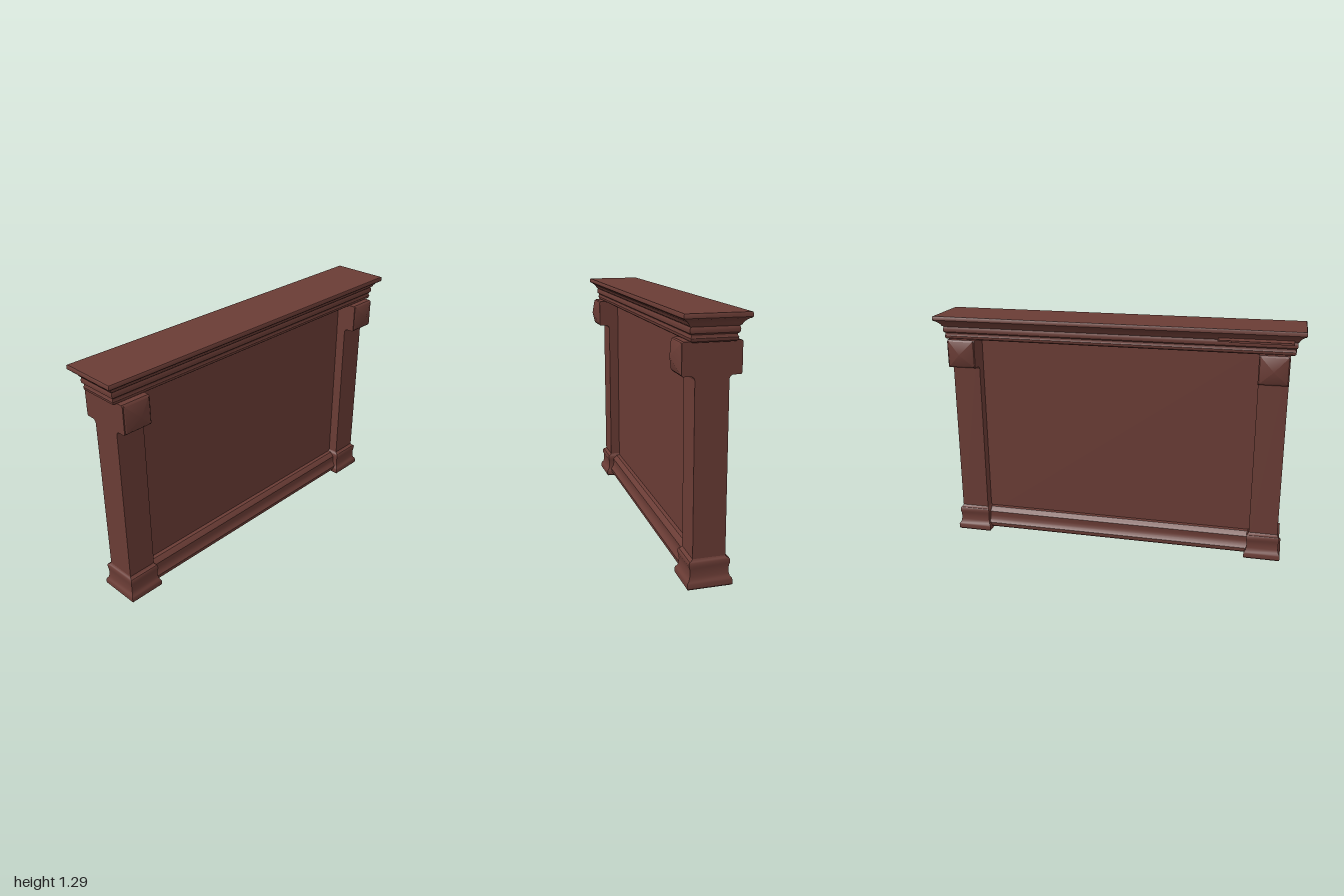
import * as THREE from 'three';
import { toCreasedNormals } from 'three/addons/utils/BufferGeometryUtils.js';

// Stacked rectangles [y, halfX, halfZ] from bottom to top, with closed ends
function rectLoft(rings) {
  const pos = [];
  const idx = [];
  for (const [y, hx, hz] of rings) {
    pos.push(-hx, y, hz, hx, y, hz, hx, y, -hz, -hx, y, -hz);
  }
  for (let r = 0; r < rings.length - 1; r++) {
    for (let k = 0; k < 4; k++) {
      const a = r * 4 + k;
      const b = r * 4 + ((k + 1) % 4);
      idx.push(a, b, b + 4, a, b + 4, a + 4);
    }
  }
  const t = (rings.length - 1) * 4;
  idx.push(0, 3, 2, 0, 2, 1, t, t + 1, t + 2, t, t + 2, t + 3);
  const g = new THREE.BufferGeometry();
  g.setAttribute('position', new THREE.Float32BufferAttribute(pos, 3));
  g.setIndex(idx);
  return toCreasedNormals(g, 0.6);
}

export function createModel() {
  const model = new THREE.Group();
  model.name = 'pillaredWall';
  const wood = new THREE.MeshStandardMaterial({ color: 0x6a3c35 });
  wood.name = 'reddish brown';

  const body = new THREE.Group();
  body.name = 'wallBody';
  body.position.z = 0.007;
  model.add(body);

  const add = (parent, name, geometry, x = 0, y = 0, z = 0) => {
    const mesh = new THREE.Mesh(geometry, wood);
    mesh.name = name;
    mesh.position.set(x, y, z);
    parent.add(mesh);
    return mesh;
  };

  // Recessed panel between the pillars
  add(body, 'panel', new THREE.BoxGeometry(1.6, 1.12, 0.05), 0, 0.63, 0);

  // Moulded rail along the foot of the panel
  const railProfile = [
    [0.02, 0.076], [0.026, 0.082], [0.046, 0.084], [0.054, 0.078], [0.066, 0.07],
    [0.085, 0.066], [0.1, 0.067], [0.112, 0.068], [0.12, 0.062], [0.135, 0.045], [0.137, 0.025],
  ];
  add(body, 'bottomRail', rectLoft(railProfile.map(([y, z]) => [y, 0.8, z])));

  // Pillars: shaft, moulded foot, bracket block and pointed studs
  const foot = [
    [0, 0.094, 0.107], [0.006, 0.099, 0.112], [0.028, 0.099, 0.112], [0.036, 0.096, 0.109],
    [0.045, 0.09, 0.101], [0.06, 0.087, 0.097], [0.08, 0.086, 0.095], [0.1, 0.087, 0.097],
    [0.112, 0.089, 0.101], [0.13, 0.089, 0.101], [0.136, 0.086, 0.097],
    [0.139, 0.082, 0.088], [0.147, 0.078, 0.081],
  ];
  const bracket = [
    [0.99, 0.0785, 0.08], [1.003, 0.0785, 0.085], [1.01, 0.0785, 0.095],
    [1.011, 0.0785, 0.137], [1.018, 0.0785, 0.142], [1.157, 0.0785, 0.142], [1.165, 0.0785, 0.134],
  ];
  const stud = [[0, 0.073, 0.073], [0.004, 0.068, 0.068], [0.031, 0.002, 0.002]];
  for (const side of [-1, 1]) {
    const pillar = new THREE.Group();
    pillar.name = side > 0 ? 'leftPillar' : 'rightPillar';
    pillar.position.x = side * 0.849;
    body.add(pillar);
    add(pillar, 'shaft', new THREE.BoxGeometry(0.156, 1.1, 0.162), 0, 0.62, 0);
    add(pillar, 'foot', rectLoft(foot));
    add(pillar, 'bracketBlock', rectLoft(bracket));
    for (const face of [-1, 1]) {
      const s = add(pillar, face > 0 ? 'frontStud' : 'backStud', rectLoft(stud), 0, 1.089, face * 0.142);
      s.rotation.x = face * Math.PI / 2;
    }
  }

  // Stepped cornice running round all four sides: [y, halfZ]
  const cornice = [
    [1.162, 0.1], [1.168, 0.108], [1.182, 0.111], [1.19, 0.107], [1.197, 0.107],
    [1.204, 0.115], [1.218, 0.117], [1.226, 0.115], [1.232, 0.113], [1.238, 0.121],
    [1.247, 0.125], [1.257, 0.134], [1.265, 0.144], [1.268, 0.151], [1.274, 0.157],
    [1.29, 0.157], [1.295, 0.154],
  ];
  add(body, 'cornice', rectLoft(cornice.map(([y, z]) => [y, z + 0.843, z])));

  // Loose strip of trim under the back of the cornice
  add(model, 'trimStrip', new THREE.BoxGeometry(0.31, 0.01, 0.085), -0.785, 1.239, -0.1395);
  add(model, 'trimStripEnd', new THREE.BoxGeometry(0.07, 0.008, 0.075), -0.595, 1.239, -0.1375);

  return model;
}
